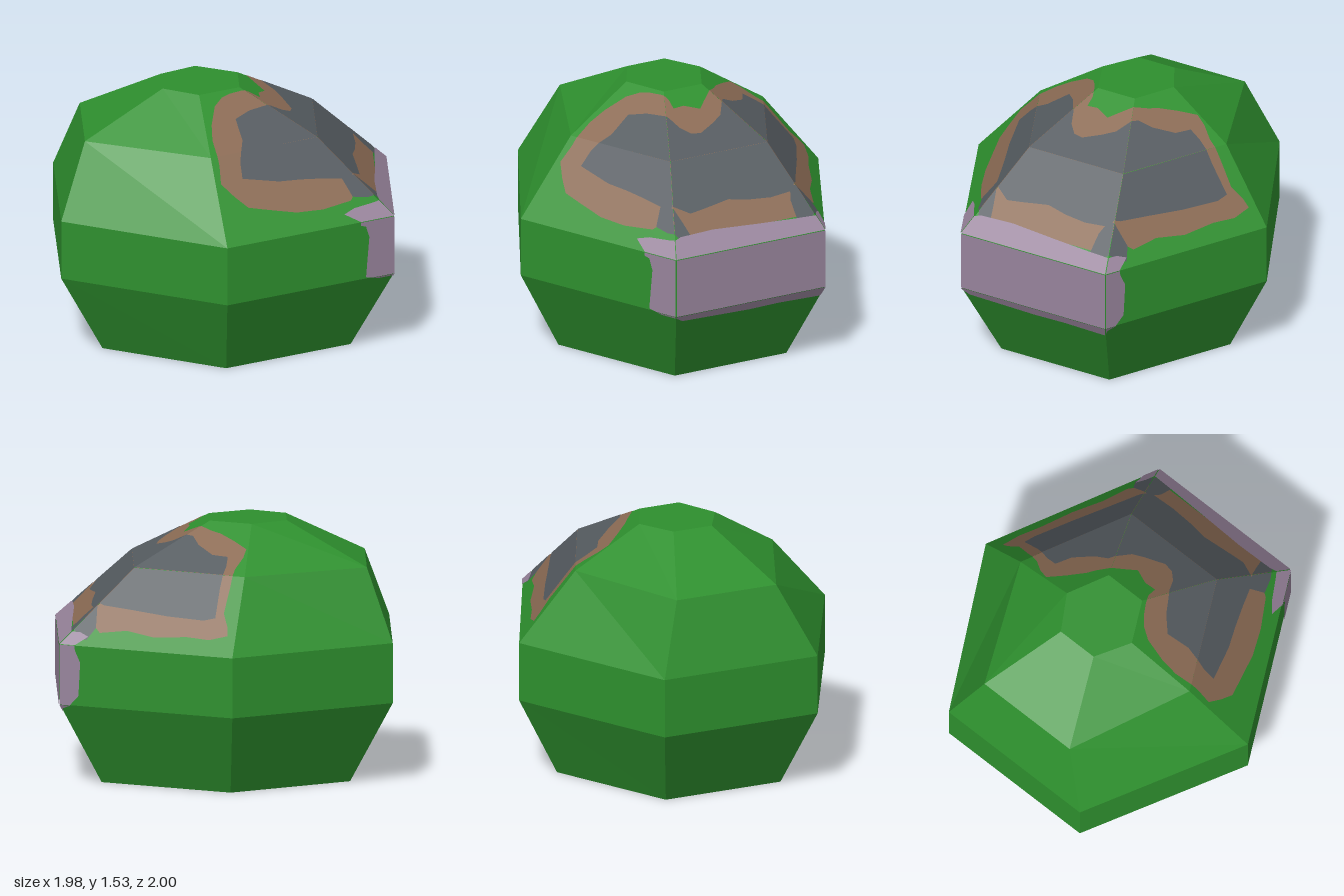
import * as THREE from 'three';

const material = (name, color) => {
  const m = new THREE.MeshStandardMaterial({ color });
  m.name = name;
  return m;
};

// Six-sided rings from the base up: height, then [x, z] of each corner
const rings = [
  [0, [[-0.02, -0.75], [0.735, -0.375], [0.735, 0.375], [-0.02, 0.75], [-0.735, 0.375], [-0.735, -0.375]]],
  [0.49, [[-0.025, -1], [0.985, -0.5], [0.985, 0.5], [-0.025, 1], [-0.985, 0.5], [-0.985, -0.5]]],
  [0.85, [[-0.025, -1], [0.985, -0.5], [0.985, 0.5], [-0.025, 1], [-0.985, 0.5], [-0.985, -0.5]]],
  [1.28, [[-0.105, -0.67], [0.54, -0.35], [0.54, 0.3], [-0.105, 0.62], [-0.835, 0.3], [-0.835, -0.35]]],
  [1.53, [[-0.155, -0.275], [0.09, -0.155], [0.09, 0.1], [-0.155, 0.22], [-0.365, 0.1], [-0.365, -0.15]]],
].map(([y, pts]) => pts.map(([x, z]) => new THREE.Vector3(x, y, z)));

// Quad on one side of one band, corners counter-clockwise from outside
const facet = (band, i) => {
  const j = (i + 1) % 6;
  return [rings[band][i], rings[band + 1][i], rings[band + 1][j], rings[band][j]];
};

function meshFrom(points, mat, name) {
  const geo = new THREE.BufferGeometry().setFromPoints(points);
  geo.computeVertexNormals();
  const mesh = new THREE.Mesh(geo, mat);
  mesh.name = name;
  return mesh;
}

// Faceted shell with flat top and base
function shellPoints() {
  const out = [];
  for (let band = 0; band < 4; band++) {
    for (let i = 0; i < 6; i++) {
      const [a, b, c, d] = facet(band, i);
      out.push(a, b, c, a, c, d);
    }
  }
  const top = rings[4], base = rings[0];
  for (let i = 1; i < 5; i++) {
    out.push(top[0], top[i + 1], top[i]);
    out.push(base[0], base[i], base[i + 1]);
  }
  return out;
}

// Clip a 2D outline to a convex 2D polygon
function clip(outline, poly) {
  const sign = THREE.ShapeUtils.area(poly) > 0 ? 1 : -1;
  let pts = outline;
  poly.forEach((a, k) => {
    const b = poly[(k + 1) % poly.length];
    const side = (p) => sign * ((b.x - a.x) * (p.y - a.y) - (b.y - a.y) * (p.x - a.x));
    const next = [];
    pts.forEach((p, n) => {
      const q = pts[(n + 1) % pts.length], sp = side(p), sq = side(q);
      if (sp >= 0) next.push(p);
      if ((sp >= 0) !== (sq >= 0)) next.push(p.clone().lerp(q, sp / (sp - sq)));
    });
    pts = next;
  });
  return pts;
}

// Thin painted patch: the outline is projected along an axis onto the facets of the given bands
function patch(outline, axis, bands, lift, mat, name) {
  const flat = (v) => (axis === 'y' ? new THREE.Vector2(v.x, v.z) : new THREE.Vector2(v.z, v.y));
  const shape = outline.map(([u, v]) => new THREE.Vector2(u, v));
  const out = [];
  for (const band of bands) {
    for (let i = 0; i < 3; i++) {
      const quad = facet(band, i);
      const plane = new THREE.Plane().setFromCoplanarPoints(quad[0], quad[1], quad[2]);
      const n = plane.normal;
      const pts = clip(shape, quad.map(flat));
      if (pts.length < 3) continue;
      const raise = (p) => {
        const v = axis === 'y' ? new THREE.Vector3(p.x, 0, p.y) : new THREE.Vector3(0, p.y, p.x);
        v[axis] = -plane.distanceToPoint(v) / n[axis];
        return v.addScaledVector(n, lift);
      };
      for (const t of THREE.ShapeUtils.triangulateShape(pts, [])) {
        const [a, b, c] = t.map((k) => raise(pts[k]));
        const facing = b.clone().sub(a).cross(c.clone().sub(a)).dot(n);
        if (Math.abs(facing) < 1e-9) continue;
        if (facing > 0) out.push(a, b, c);
        else out.push(a, c, b);
      }
    }
  }
  return meshFrom(out, mat, name);
}

export function createModel() {
  const group = new THREE.Group();
  group.name = 'facetedDome';
  const green = material('green', 0x2e902e);
  const brown = material('brown', 0x8b6b54);
  const grey = material('slateGrey', 0x555b60);
  const mauve = material('mauve', 0x98849c);

  group.add(meshFrom(shellPoints(), green, 'shell'));

  // Brown border, outline in x, z
  const border = [
    [0, -0.89], [0.11, -0.86], [0.24, -0.79], [0.43, -0.71], [0.59, -0.61], [0.75, -0.55],
    [0.79, -0.49], [0.9, -0.36], [0.9, 0.35], [0.88, 0.43], [0.75, 0.48], [0.73, 0.52],
    [0.56, 0.62], [0.4, 0.69], [0.24, 0.735], [0.11, 0.77], [0.03, 0.75], [-0.05, 0.72],
    [-0.055, 0.64], [-0.09, 0.5], [-0.09, 0.4], [-0.065, 0.27], [-0.02, 0.2], [0.03, 0.16],
    [0.1, 0.12], [0.15, 0.1], [0.21, 0.1], [0.205, 0.03], [0.245, -0.06], [0.2, -0.11],
    [0.14, -0.18], [0.08, -0.24], [0.03, -0.28], [-0.05, -0.37], [-0.12, -0.46],
    [-0.1, -0.52], [-0.05, -0.59], [-0.02, -0.68], [0.02, -0.78], [0, -0.85],
  ];
  group.add(patch(border, 'y', [2, 3], 0.002, brown, 'brownBorder'));

  // Grey field inside the border
  const field = [
    [0.07, -0.78], [0.14, -0.76], [0.35, -0.65], [0.56, -0.53], [0.72, -0.44], [0.78, -0.39],
    [0.79, -0.24], [0.78, -0.1], [0.76, 0.03], [0.78, 0.2], [0.79, 0.3], [0.73, 0.42],
    [0.56, 0.48], [0.43, 0.53], [0.3, 0.585], [0.08, 0.65], [0.07, 0.58], [0.09, 0.45],
    [0.055, 0.32], [0.14, 0.24], [0.27, 0.16], [0.34, 0.13], [0.39, 0.08], [0.4, 0.02],
    [0.35, -0.09], [0.31, -0.16], [0.19, -0.24], [0.16, -0.32], [0.08, -0.43],
    [-0.01, -0.48], [0, -0.55], [0.04, -0.66],
  ];
  group.add(patch(field, 'y', [2, 3], 0.004, grey, 'greyField'));

  // Grey spots where the ridges meet the band
  const spots = [
    [[0.9, 0.35], [0.9, 0.43], [0.83, 0.47], [0.74, 0.5], [0.67, 0.43], [0.74, 0.4], [0.83, 0.37]],
    [[0.77, -0.52], [0.83, -0.55], [0.91, -0.46], [0.915, -0.35], [0.82, -0.355], [0.75, -0.39], [0.76, -0.43]],
  ];
  for (const spot of spots) group.add(patch(spot, 'y', [2], 0.005, grey, 'greySpot'));

  // Mauve panel wrapping the left side, outline in z, y
  const panel = [
    [0.585, 0.5], [0.575, 0.75], [0.585, 0.82], [0.6, 0.83], [0.6, 0.9], [0.55, 0.92],
    [0.48, 0.93], [0.42, 0.945], [0.2, 0.95], [-0.1, 0.935], [-0.34, 0.925], [-0.5, 0.92],
    [-0.54, 0.9], [-0.545, 0.82], [-0.56, 0.75], [-0.555, 0.55], [-0.53, 0.49], [-0.5, 0.47],
    [-0.48, 0.43], [-0.2, 0.44], [0, 0.435], [0.3, 0.445], [0.45, 0.45], [0.5, 0.48], [0.54, 0.48],
  ];
  group.add(patch(panel, 'x', [0, 1, 2], 0.006, mauve, 'sidePanel'));

  return group;
}
